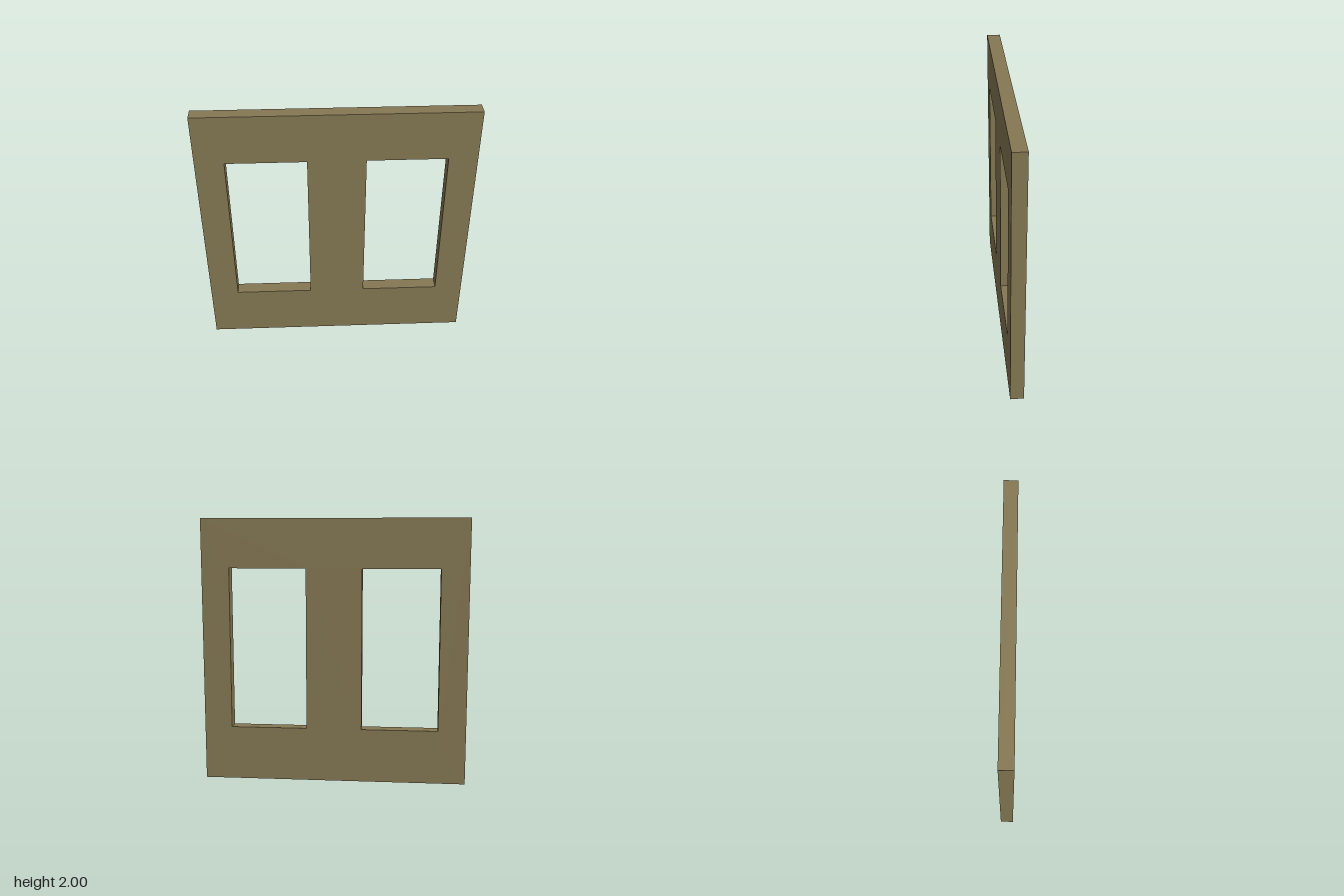
import * as THREE from 'three';

const WIDTH = 2, HEIGHT = 2, DEPTH = 0.1;
const OPENING = { inner: 0.21, outer: 0.79, bottom: 0.41, top: 1.63 };

// Closed rectangular outline from two corners
function rectangle(PathType, x0, y0, x1, y1) {
  return new PathType([
    new THREE.Vector2(x0, y0),
    new THREE.Vector2(x1, y0),
    new THREE.Vector2(x1, y1),
    new THREE.Vector2(x0, y1),
  ]);
}

export function createModel() {
  const group = new THREE.Group();
  group.name = 'windowWall';

  // Wall slab with two mirrored window openings
  const outline = rectangle(THREE.Shape, -WIDTH / 2, 0, WIDTH / 2, HEIGHT);
  for (const side of [-1, 1]) {
    outline.holes.push(rectangle(THREE.Path,
      side * OPENING.inner, OPENING.bottom, side * OPENING.outer, OPENING.top));
  }

  const geometry = new THREE.ExtrudeGeometry(outline, { depth: DEPTH, bevelEnabled: false });
  geometry.translate(0, 0, -DEPTH / 2);

  const wall = new THREE.Mesh(geometry, new THREE.MeshStandardMaterial({ color: 0x857853 }));
  wall.name = 'wall';
  group.add(wall);
  return group;
}
